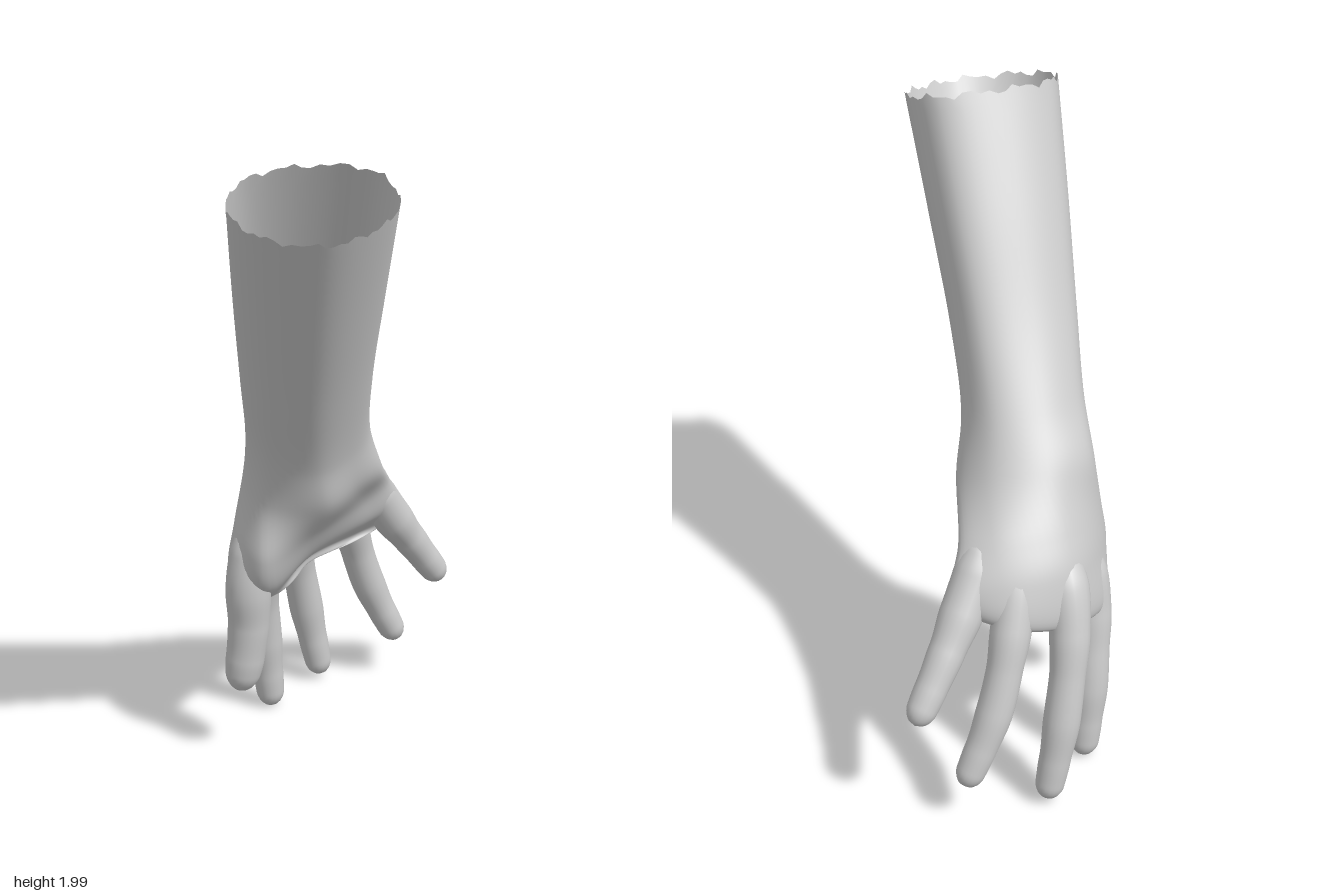
import * as THREE from 'three';
import { mergeVertices } from 'three/addons/utils/BufferGeometryUtils.js';

const V = (x, y, z) => new THREE.Vector3(x, y, z);
const AROUND = 64, ALONG = 80;

// Forearm rings: front and back points [z, y], side limits in x, and the fullness
// of the corners (front left, front right, back right, back left)
const armRings = [
  { f: [0.64, 1.86], b: [0.23, 1.985], x: [-0.42, 0.06], c: [0.9, 1, 1, 1.15] },
  { f: [0.44, 1.55], b: [0.07, 1.69], x: [-0.385, 0.055], c: [0.9, 1, 1, 1.15] },
  { f: [0.25, 1.25], b: [-0.1, 1.38], x: [-0.345, 0.052], c: [0.9, 1.02, 1, 1.14] },
  { f: [0.12, 1.03], b: [-0.24, 1.16], x: [-0.315, 0.07], c: [0.86, 1.07, 1, 1.1] },
  { f: [0.055, 0.88], b: [-0.345, 1.01], x: [-0.312, 0.12], c: [0.76, 1.17, 1.02, 1.04] },
];

// Hand rings: [x, z] outline on the plane y = y0 + n * x + m * z
const handRings = [
  { y0: 0.72, n: 0, m: -0.3, p: [[0.185, -0.34], [0.075, -0.22], [-0.11, -0.07], [-0.28, 0.03],
    [-0.35, -0.08], [-0.3, -0.27], [-0.12, -0.44], [0.09, -0.43]] },
  { y0: 0.59, n: 0, m: -0.3, p: [[0.235, -0.41], [0.12, -0.32], [-0.09, -0.18], [-0.27, -0.02],
    [-0.365, -0.1], [-0.3, -0.31], [-0.12, -0.495], [0.08, -0.505]] },
  { y0: 0.55, n: 0.25, m: -0.1, p: [[0.205, -0.43], [0.09, -0.4], [-0.08, -0.34], [-0.22, -0.17],
    [-0.295, -0.18], [-0.285, -0.36], [-0.12, -0.51], [0.075, -0.535]] },
];

function armRing({ f, b, x, c }) {
  const pts = [];
  for (let k = 0; k < 8; k++) {
    const a = (k * Math.PI) / 4, full = k % 2 ? c[(k - 1) / 2] : 1;
    const s = (full * Math.sin(a)) / 2, t = (full * Math.cos(a)) / 2;
    pts.push(V((x[0] + x[1]) / 2 + (x[1] - x[0]) * t,
      (f[1] + b[1]) / 2 + (f[1] - b[1]) * s, (f[0] + b[0]) / 2 + (f[0] - b[0]) * s));
  }
  return pts;
}

const handRing = ({ y0, n, m, p }) => p.map(([x, z]) => V(x, y0 + n * x + m * z, z));

// Shrinks a ring toward its centre, to close the end of the palm
function shrink(ring, k, drop) {
  const c = ring.reduce((s, p) => s.add(p), V(0, 0, 0)).divideScalar(ring.length);
  return ring.map((p) => p.clone().lerp(c, 1 - k).add(V(0, -drop, 0)));
}

// One smooth skin through all rings, with a ragged open rim at the top
function skinGeometry() {
  const rings = [...armRings.map(armRing), ...handRings.map(handRing)];
  const last = rings[rings.length - 1];
  rings.push(shrink(last, 0.65, 0.025), shrink(last, 0.01, 0.025));

  const loops = rings.map((r) => new THREE.CatmullRomCurve3(r, true));
  const pos = new Float32Array((ALONG + 1) * AROUND * 3), index = [];
  for (let j = 0; j < AROUND; j++) {
    const column = new THREE.CatmullRomCurve3(loops.map((l) => l.getPoint(j / AROUND)));
    const rag = 0.007 * (Math.sin(j * 2.3) + Math.sin(j * 1.1 + 1));
    for (let i = 0; i <= ALONG; i++) {
      const p = column.getPoint(i / ALONG);
      if (i === 0) p.add(V(0, rag * 0.85, rag * 0.5));
      p.toArray(pos, (i * AROUND + j) * 3);
      if (i === ALONG) continue;
      const a = i * AROUND + j, b = i * AROUND + ((j + 1) % AROUND);
      index.push(a, b, a + AROUND, b, b + AROUND, a + AROUND);
    }
  }
  const g = new THREE.BufferGeometry();
  g.setAttribute('position', new THREE.BufferAttribute(pos, 3));
  g.setIndex(index);
  g.computeVertexNormals();
  return g;
}

// Finger: a tube along [x, y, z] points, tapered by the radii and rounded at the tip
function fingerGeometry(points, radii) {
  const seg = 80, sides = 20;
  const curve = new THREE.CatmullRomCurve3(points.map((p) => V(...p)));
  const g = new THREE.TubeGeometry(curve, seg, 1, sides);
  const pos = g.attributes.position, v = V(0, 0, 0);
  const cap = (radii[radii.length - 1] * 1.2) / curve.getLength();
  for (let i = 0; i <= seg; i++) {
    const u = i / seg, c = curve.getPointAt(u);
    const s = u * (radii.length - 1), k = Math.min(Math.floor(s), radii.length - 2);
    let r = THREE.MathUtils.lerp(radii[k], radii[k + 1], THREE.MathUtils.smoothstep(s - k, 0, 1));
    // round both ends: the tip, and the knuckle buried in the hand
    const e = Math.max(0, (u - 1 + cap) / cap, 1 - u / cap);
    r *= Math.sqrt(Math.max(0.0004, 1 - e * e));
    for (let j = 0; j <= sides; j++) {
      const n = i * (sides + 1) + j;
      v.fromBufferAttribute(pos, n).sub(c).multiplyScalar(r).add(c);
      pos.setXYZ(n, v.x, v.y, v.z);
    }
  }
  g.deleteAttribute('uv');
  g.deleteAttribute('normal');
  const merged = mergeVertices(g, 1e-5);
  merged.computeVertexNormals();
  return merged;
}

const fingers = {
  thumb: { p: [[-0.28, 0.8, -0.1], [-0.31, 0.62, -0.08], [-0.312, 0.45, -0.09], [-0.34, 0.228, -0.095]],
    r: [0.05, 0.07, 0.072, 0.066, 0.062, 0.05] },
  indexFinger: { p: [[-0.205, 0.74, -0.315], [-0.235, 0.52, -0.36], [-0.222, 0.3, -0.405], [-0.195, 0.002, -0.43]],
    r: [0.05, 0.07, 0.064, 0.057, 0.058, 0.05, 0.044] },
  middleFinger: { p: [[-0.11, 0.8, -0.4], [-0.1, 0.57, -0.515], [-0.055, 0.3, -0.58], [0, 0.02, -0.605]],
    r: [0.05, 0.07, 0.062, 0.055, 0.057, 0.049, 0.043] },
  ringFinger: { p: [[0.02, 0.82, -0.39], [0.085, 0.6, -0.505], [0.16, 0.36, -0.565], [0.265, 0.135, -0.595]],
    r: [0.05, 0.068, 0.062, 0.055, 0.056, 0.049, 0.043] },
  littleFinger: { p: [[0.1, 0.84, -0.35], [0.2, 0.67, -0.425], [0.295, 0.53, -0.49], [0.405, 0.37, -0.55]],
    r: [0.05, 0.066, 0.066, 0.056, 0.05, 0.044] },
};

export function createModel() {
  const group = new THREE.Group();
  group.name = 'handAndForearm';
  const material = new THREE.MeshStandardMaterial({ color: 0xcccccc, side: THREE.DoubleSide });
  const add = (name, geometry) => {
    const mesh = new THREE.Mesh(geometry, material);
    mesh.name = name;
    group.add(mesh);
  };
  add('forearmAndPalm', skinGeometry());
  for (const [name, { p, r }] of Object.entries(fingers)) add(name, fingerGeometry(p, r));
  return group;
}
